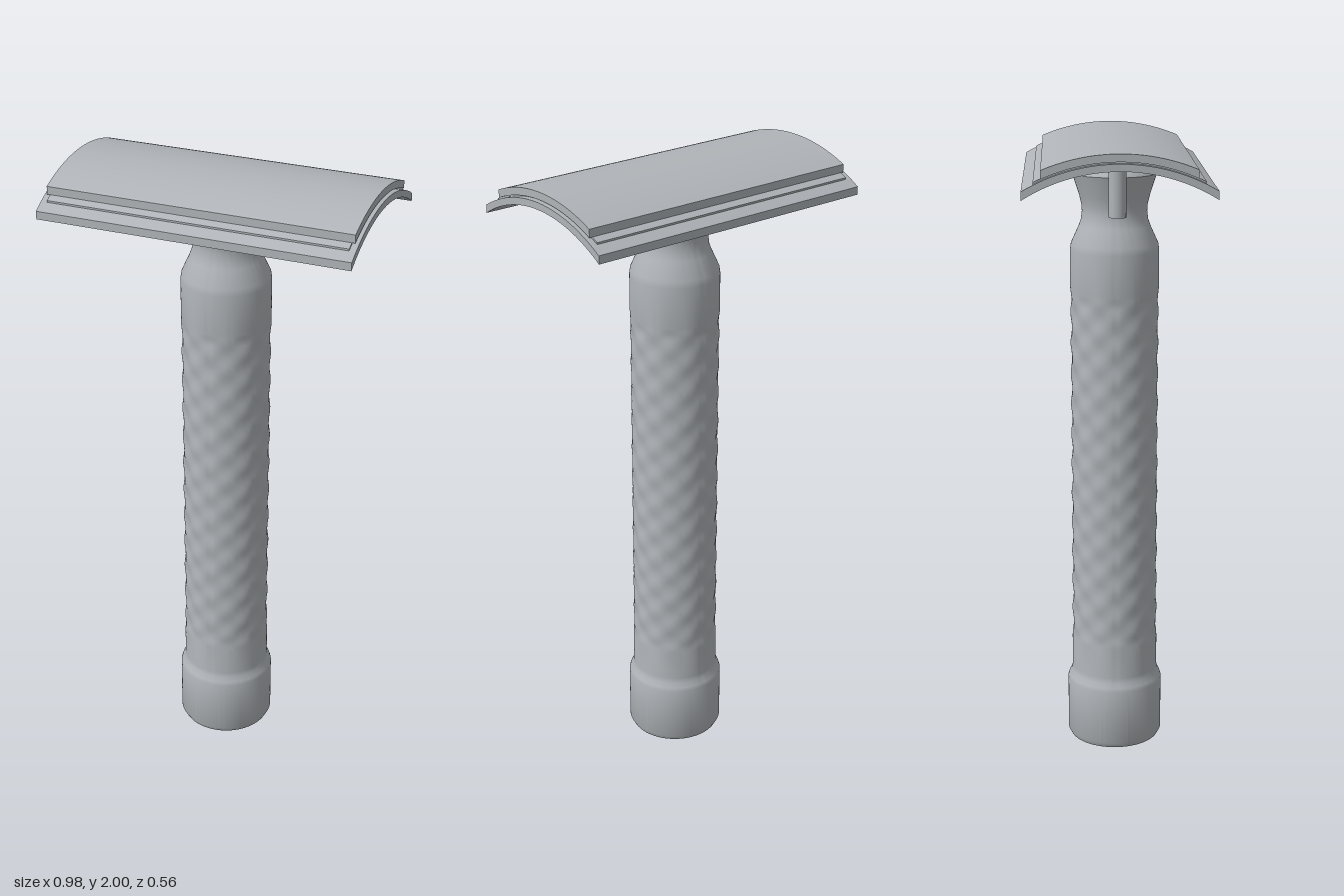
import * as THREE from 'three';
import { toCreasedNormals } from 'three/addons/utils/BufferGeometryUtils.js';

const ARC_CENTRE = 1.42; // shared height of the axis all head plates curve around

// Plate bent around the x axis, between two radii, trimmed at z = +-halfDepth
function curvedPlate(name, inner, outer, halfDepth, halfWidth, material) {
  const shape = new THREE.Shape();
  const arc = (radius, from, to) => {
    const points = [];
    for (let i = 0; i <= 32; i++) {
      const u = THREE.MathUtils.lerp(from, to, i / 32);
      points.push(new THREE.Vector2(u, Math.sqrt(radius * radius - u * u)));
    }
    return points;
  };
  shape.setFromPoints([...arc(inner, -halfDepth, halfDepth), ...arc(outer, halfDepth, -halfDepth)]);
  const geometry = new THREE.ExtrudeGeometry(shape, { depth: halfWidth * 2, bevelEnabled: false });
  geometry.translate(0, ARC_CENTRE, -halfWidth).rotateY(Math.PI / 2);
  const mesh = new THREE.Mesh(toCreasedNormals(geometry, 0.5), material);
  mesh.name = name;
  return mesh;
}

// Turned handle: foot with a bore, hammered grip, waisted neck and flared collar
function handleGeometry() {
  const GRIP_LOW = 0.34, GRIP_HIGH = 1.53, ROWS = 120;
  const profile = [
    [0, 0.2], [0.032, 0.2], [0.032, 0], [0.135, 0], [0.146, 0.005], [0.155, 0.022],
    [0.155, 0.205], [0.151, 0.218], [0.142, 0.232], [0.14, 0.25],
  ];
  for (let i = 0; i <= ROWS; i++) {
    profile.push([0.14, THREE.MathUtils.lerp(GRIP_LOW, GRIP_HIGH, i / ROWS)]);
  }
  profile.push(
    [0.14, 1.65], [0.137, 1.67], [0.112, 1.725], [0.105, 1.745], [0.102, 1.77], [0.103, 1.79],
    [0.11, 1.82], [0.132, 1.888], [0.128, 1.896], [0.068, 1.945], [0, 1.955],
  );
  const geometry = new THREE.LatheGeometry(profile.map(([r, y]) => new THREE.Vector2(r, y)), 96);

  // Staggered shallow dimples pressed into the grip
  const position = geometry.attributes.position;
  for (let i = 0; i < position.count; i++) {
    const x = position.getX(i), y = position.getY(i), z = position.getZ(i);
    if (y < GRIP_LOW || y > GRIP_HIGH) continue;
    const fade = Math.min(1, (y - GRIP_LOW) / 0.04, (GRIP_HIGH - y) / 0.04);
    const wave = Math.cos(8 * Math.atan2(x, z)) * Math.cos((2 * Math.PI * y) / 0.1);
    const scale = 1 - 0.018 * fade * (1 + wave);
    position.setXYZ(i, x * scale, y, z * scale);
  }
  return toCreasedNormals(geometry, 0.5);
}

export function createModel() {
  const model = new THREE.Group();
  model.name = 'safetyRazor';
  const steel = new THREE.MeshStandardMaterial({ color: 0xb0b4b8 });
  steel.name = 'steel';

  const handle = new THREE.Mesh(handleGeometry(), steel);
  handle.name = 'handle';
  model.add(handle);

  // Layered head
  const head = new THREE.Group();
  head.name = 'head';
  head.add(
    curvedPlate('basePlate', 0.531, 0.5525, 0.281, 0.49, steel),
    curvedPlate('blade', 0.552, 0.5575, 0.247, 0.47, steel),
    curvedPlate('topCap', 0.557, 0.58, 0.225, 0.48, steel),
  );

  // Locating pegs under the base plate
  for (const side of [-1, 1]) {
    const peg = new THREE.Mesh(new THREE.CylinderGeometry(0.026, 0.026, 0.17, 32), steel);
    peg.name = side > 0 ? 'leftPeg' : 'rightPeg';
    peg.position.set(side * 0.273, 1.875, 0);
    head.add(peg);
  }
  model.add(head);
  return model;
}
